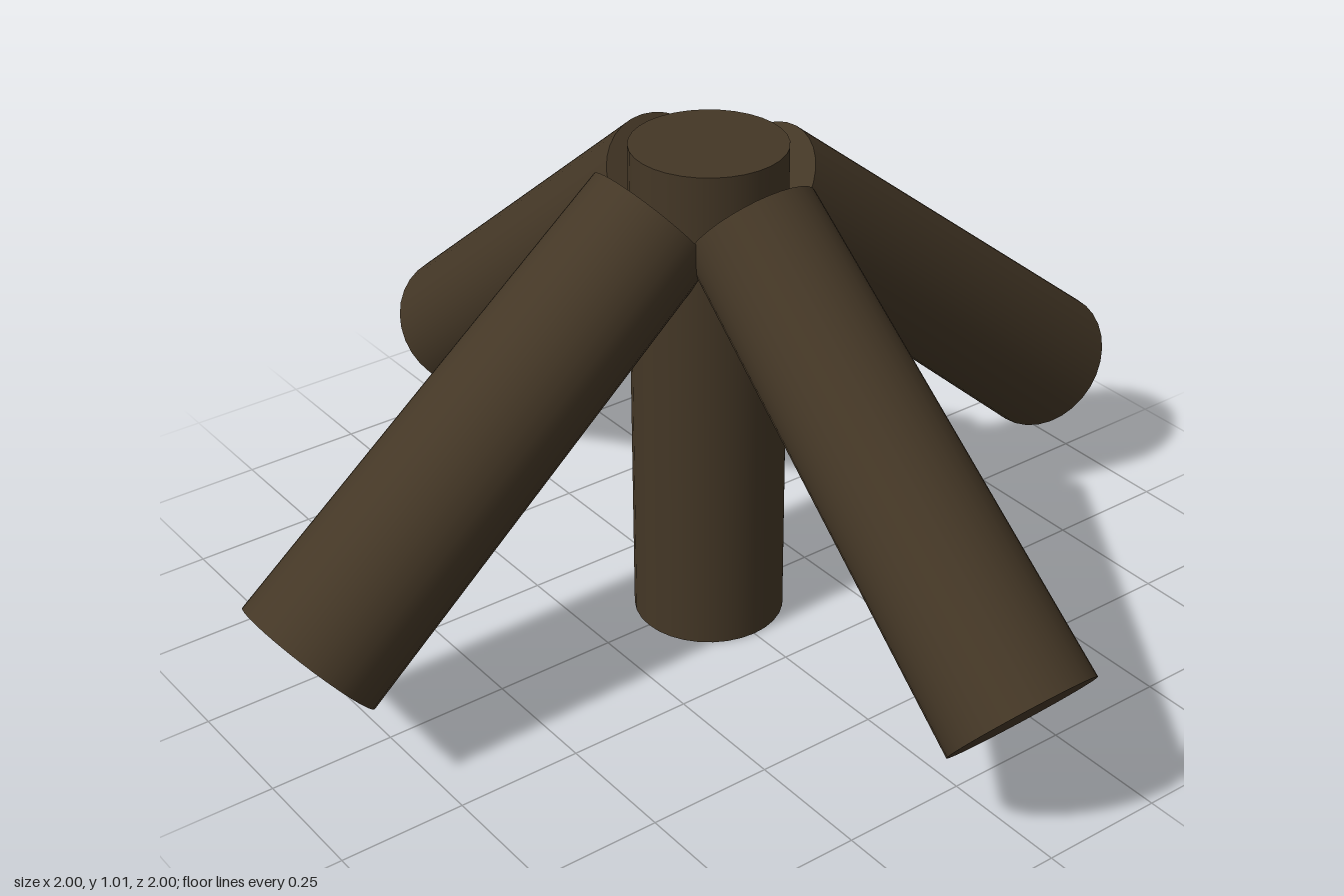
import * as THREE from 'three';

const wood = new THREE.MeshStandardMaterial({ color: 0x443726 });

// Tapered log running from a thick outer foot to a thinner upper end
function makeLog(name, foot, top, footRadius, topRadius) {
  const axis = new THREE.Vector3().subVectors(top, foot);
  const log = new THREE.Mesh(
    new THREE.CylinderGeometry(topRadius, footRadius, axis.length(), 32), wood);
  log.name = name;
  log.position.addVectors(foot, top).multiplyScalar(0.5);
  log.quaternion.setFromUnitVectors(new THREE.Vector3(0, 1, 0), axis.normalize());
  return log;
}

export function createModel() {
  const model = new THREE.Group();
  model.name = 'logPile';

  // Upright log in the middle
  model.add(makeLog('centreLog', new THREE.Vector3(0, 0, 0), new THREE.Vector3(0, 1.015, 0), 0.15, 0.15));

  // Four logs leaning on it, each with its own slight taper
  const leaning = [
    ['leftLog', 1, 0, 0.125, 0.125],
    ['rightLog', -1, 0, 0.129, 0.136],
    ['frontLog', 0, 1, 0.128, 0.132],
    ['backLog', 0, -1, 0.126, 0.13],
  ];
  for (const [name, x, z, reach, topRadius] of leaning) {
    const foot = new THREE.Vector3(x * 0.903, 0.25, z * 0.903);
    const top = new THREE.Vector3(x * reach, 0.898, z * reach);
    model.add(makeLog(name, foot, top, 0.15, topRadius));
  }
  return model;
}
